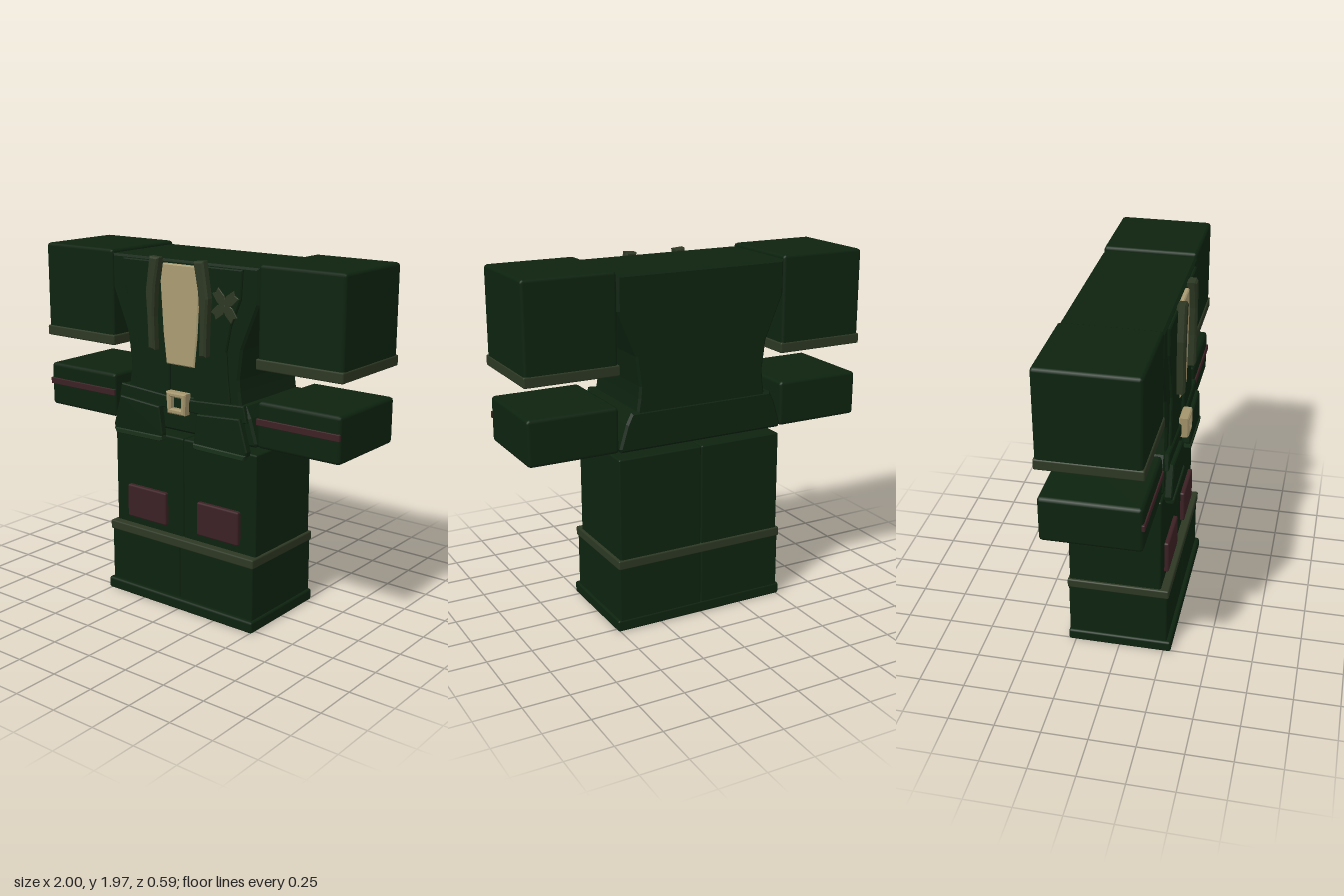
import * as THREE from 'three';
import { RoundedBoxGeometry } from 'three/addons/geometries/RoundedBoxGeometry.js';

const colour = (name, hex) => {
  const m = new THREE.MeshStandardMaterial({ color: hex });
  m.name = name;
  return m;
};

export function createModel() {
  const model = new THREE.Group();
  model.name = 'outfit';
  const green = colour('dark green', 0x0d230f);
  const trim = colour('mid green', 0x18301a);
  const olive = colour('olive', 0x2d3823);
  const cream = colour('cream', 0xa99b72);
  const brass = colour('pale brass', 0xa3946c);
  const maroon = colour('maroon', 0x3c2024);

  const add = (name, geometry, material, parent = model) => {
    const mesh = new THREE.Mesh(geometry, material);
    mesh.name = name;
    parent.add(mesh);
    return mesh;
  };
  // Chamfered box given by its limits
  const box = (name, material, [x0, x1], [y0, y1], [z0, z1], r = 0.012) => {
    const g = new RoundedBoxGeometry(x1 - x0, y1 - y0, z1 - z0, 1, r);
    g.translate((x0 + x1) / 2, (y0 + y1) / 2, (z0 + z1) / 2);
    return add(name, g, material);
  };
  // Outline extruded between two depths, with a small chamfer kept inside it
  const plate = (name, material, points, z0, z1, bevel = 0.006, hole) => {
    const shape = new THREE.Shape(points.map(([x, y]) => new THREE.Vector2(x, y)));
    if (hole) shape.holes.push(new THREE.Path(hole.map(([x, y]) => new THREE.Vector2(x, y))));
    const g = new THREE.ExtrudeGeometry(shape, {
      depth: z1 - z0 - 2 * bevel, bevelEnabled: bevel > 0,
      bevelThickness: bevel, bevelSize: bevel, bevelOffset: -bevel, bevelSegments: 1,
    });
    g.translate(0, 0, z0 + bevel);
    return add(name, g, material);
  };
  const mirror = (half) => [...half, ...half.map(([x, y]) => [-x, y]).reverse()];
  const flip = (points, s) => points.map(([x, y]) => [s * x, y]);
  const span = (s, a, b) => (s > 0 ? [a, b] : [-b, -a]);

  // Torso with a pinched waist, and the flared coat hem
  plate('torso', green, mirror([
    [0.40, 1.14], [0.375, 1.30], [0.37, 1.36], [0.39, 1.52], [0.44, 1.64], [0.49, 1.76], [0.49, 1.945],
  ]), -0.29, 0.23, 0.012);
  plate('coatHem', green, mirror([
    [0.48, 1.02], [0.49, 1.04], [0.45, 1.17], [0.42, 1.23],
  ]), -0.295, 0.235, 0.012);

  // Raised front panels of the coat
  for (const s of [1, -1]) {
    plate('frontPanel', green, flip([
      [0.08, 1.20], [0.33, 1.20], [0.31, 1.36], [0.30, 1.50], [0.33, 1.64], [0.39, 1.78], [0.40, 1.93], [0.12, 1.93], [0.08, 1.40],
    ], s), 0.225, 0.245);
  }

  // Shirt and lapels
  plate('shirt', cream, mirror([
    [0.095, 1.39], [0.115, 1.56], [0.132, 1.83], [0.115, 1.925],
  ]), 0.22, 0.253, 0.006);
  for (const s of [1, -1]) {
    plate('lapel', olive, flip([
      [0.15, 1.46], [0.195, 1.465], [0.20, 1.62], [0.21, 1.77], [0.18, 1.96], [0.115, 1.955], [0.145, 1.80], [0.155, 1.64],
    ], s), 0.235, 0.288, 0.01);
  }

  // Four-petal chest ornament
  const petal = [[0.0, -0.016], [0.04, -0.03], [0.095, -0.026], [0.085, 0.0], [0.095, 0.024], [0.04, 0.03], [0.0, 0.016]];
  for (let i = 0; i < 4; i++) {
    const m = plate('chestPetal', olive, petal, 0, 0.009, 0.002);
    m.position.set(0.295, 1.743, 0.244);
    m.rotation.z = Math.PI / 4 + i * Math.PI / 2 - 0.08;
  }

  // Belt, buckle and hanging flaps
  plate('belt', green, mirror([[0.44, 1.145], [0.42, 1.235], [0.1, 1.215]]), 0.225, 0.255);
  plate('buckle', brass, mirror([[0.06, 1.13], [0.068, 1.25]]), 0.24, 0.295, 0.008,
    mirror([[0.034, 1.16], [0.036, 1.222]]));
  plate('buckleCore', green, mirror([[0.035, 1.155], [0.037, 1.225]]), 0.24, 0.262, 0);
  for (const s of [1, -1]) {
    plate('coatFlap', green, flip([
      [0.11, 0.975], [0.455, 0.975], [0.46, 1.0], [0.41, 1.17], [0.13, 1.15], [0.11, 1.0],
    ], s), 0.235, 0.278);
    plate('flapTrim', trim, flip([
      [0.108, 0.965], [0.12, 0.955], [0.44, 0.95], [0.455, 0.982], [0.108, 0.988],
    ], s), 0.24, 0.284);
  }

  // Arms: sleeve with cuff, separate forearm with stripe
  for (const s of [1, -1]) {
    box('sleeve', green, span(s, 0.49, 0.995), [1.45, 1.965], [-0.29, 0.232], 0.018);
    box('sleeveCuff', olive, span(s, 0.482, 1.0), [1.435, 1.492], [-0.295, 0.24], 0.008);
    box('forearm', green, span(s, 0.49, 0.99), [1.02, 1.27], [-0.29, 0.232], 0.02);
    box('forearmStripe', maroon, span(s, 0.49, 0.99), [1.145, 1.182], [0.222, 0.24], 0.004);
  }

  // Legs: trouser, knee patch, band, boot and sole
  for (const s of [1, -1]) {
    box('trouserLeg', green, span(s, 0.001, 0.49), [0.3, 0.98], [-0.28, 0.23], 0.01);
    box('kneePatch', maroon, span(s, 0.11, 0.39), [0.46, 0.65], [0.22, 0.255], 0.01);
    box('boot', green, span(s, 0.001, 0.498), [0.01, 0.38], [-0.285, 0.268], 0.01);
  }
  box('bootBand', olive, [-0.505, 0.505], [0.363, 0.415], [-0.29, 0.276], 0.008);
  box('sole', green, [-0.513, 0.513], [0, 0.065], [-0.29, 0.293], 0.012);

  return model;
}
